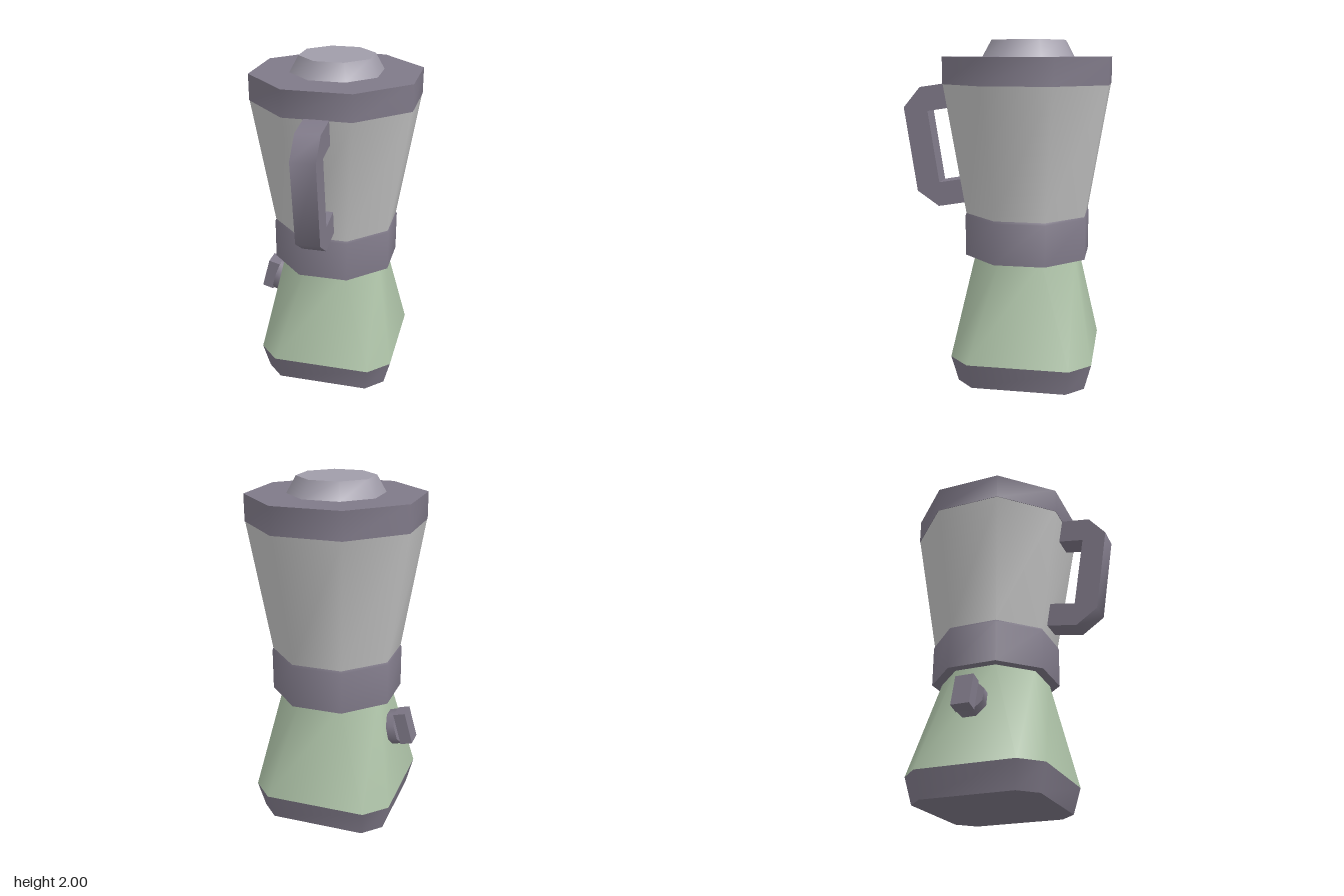
import * as THREE from 'three';
import { toCreasedNormals } from 'three/addons/utils/BufferGeometryUtils.js';

const CREASE = 0.87; // softens the 45 degree corners, keeps the rims sharp

// Square with cut corners: half width w, half length c of each flat side
function ring([y, w, c]) {
  return [[-c, w], [c, w], [w, c], [w, -c], [c, -w], [-c, -w], [-w, -c], [-w, c]]
    .map(([x, z]) => [x, y, z]);
}

// Closed solid through cross-sections listed from bottom to top
function loft(sections) {
  const rings = sections.map(ring);
  const n = 8;
  const pos = [];
  const tri = (...corners) => corners.forEach((p) => pos.push(...p));
  for (let k = 0; k < rings.length - 1; k++) {
    const lo = rings[k], hi = rings[k + 1];
    for (let i = 0; i < n; i++) {
      const j = (i + 1) % n;
      tri(lo[i], lo[j], hi[j]);
      tri(lo[i], hi[j], hi[i]);
    }
  }
  const bottom = rings[0], top = rings[rings.length - 1];
  for (let i = 1; i < n - 1; i++) {
    tri(top[0], top[i], top[i + 1]);
    tri(bottom[0], bottom[i + 1], bottom[i]);
  }
  const geometry = new THREE.BufferGeometry();
  geometry.setAttribute('position', new THREE.Float32BufferAttribute(pos, 3));
  return toCreasedNormals(geometry, CREASE);
}

function material(name, color) {
  const m = new THREE.MeshStandardMaterial({ color });
  m.name = name;
  return m;
}

export function createModel() {
  const purple = material('purple grey plastic', 0x7f7988);
  const pale = material('pale grey cap', 0xa09ca9);
  const glass = material('jar grey', 0xc2c2c2);
  const green = material('sage green', 0xadc2a7);

  const model = new THREE.Group();
  model.name = 'blender';
  const add = (name, geometry, mat, parent = model) => {
    const mesh = new THREE.Mesh(geometry, mat);
    mesh.name = name;
    parent.add(mesh);
    return mesh;
  };

  // Stacked body, from the foot up to the cap
  const stack = new THREE.Group();
  stack.name = 'stack';
  stack.position.set(0.006, 0, -0.135);
  model.add(stack);
  add('base', loft([[0, 0.375, 0.275], [0.155, 0.415, 0.295]]), purple, stack);
  add('motorHousing', loft([[0.155, 0.415, 0.295], [0.75, 0.297, 0.123]]), green, stack);
  add('collar', loft([[0.745, 0.353, 0.146], [0.985, 0.353, 0.146], [1.0, 0.347, 0.144]]), purple, stack);
  add('jar', loft([[0.995, 0.347, 0.144], [1.755, 0.468, 0.194]]), glass, stack);
  add('lid', loft([[1.752, 0.47, 0.195], [1.905, 0.47, 0.195]]), purple, stack);
  add('lidCap', loft([[1.904, 0.255, 0.106], [2.0, 0.205, 0.085]]), pale, stack);

  // Handle: side outline pushed across the width
  const outline = [
    [0.31, 1.755], [0.335, 1.755], [0.505, 1.73], [0.605, 1.61], [0.53, 1.11], [0.4, 1.02],
    [0.21, 1.053], [0.225, 1.194], [0.395, 1.165], [0.46, 1.59], [0.29, 1.617],
  ].map(([z, y]) => new THREE.Vector2(z, y));
  const handle = new THREE.ExtrudeGeometry(new THREE.Shape(outline), { depth: 0.14, bevelEnabled: false });
  handle.rotateY(-Math.PI / 2);
  handle.translate(0.076, 0, 0);
  add('handle', toCreasedNormals(handle, CREASE), purple);

  // Dial on the right side: eight-sided disc with a grip bar across it
  const dial = new THREE.Group();
  dial.name = 'dial';
  dial.position.set(-0.385, 0.538, -0.135);
  dial.rotation.z = -Math.PI / 12;
  model.add(dial);
  const disc = loft([[-0.1, 0.095, 0.04], [0, 0.095, 0.04]]);
  disc.rotateZ(Math.PI / 2);
  add('dialDisc', disc, purple, dial);
  add('dialGrip', new THREE.BoxGeometry(0.072, 0.19, 0.11), purple, dial).position.x = -0.035;

  return model;
}
